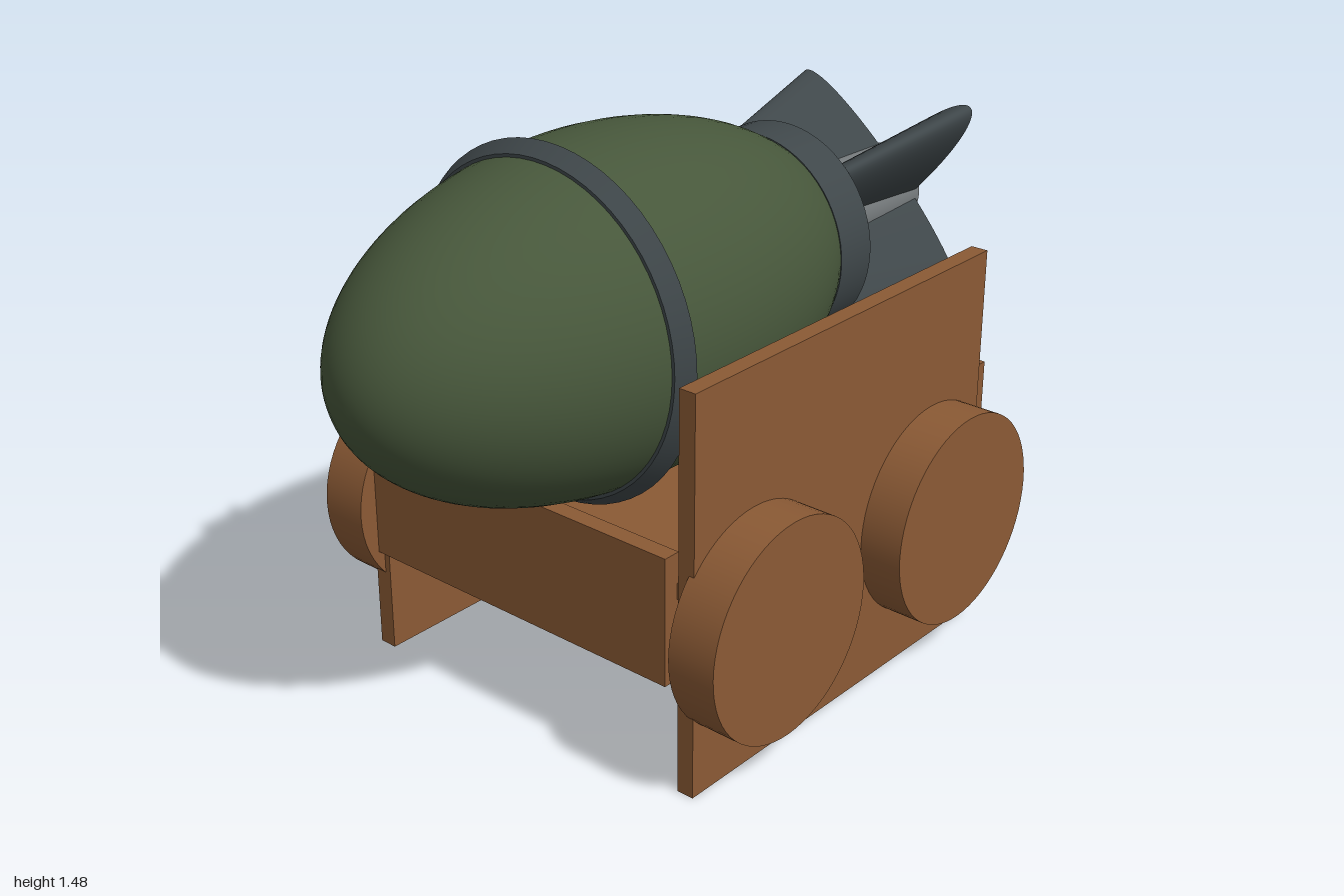
import * as THREE from 'three';

const mat = (name, color) => {
  const m = new THREE.MeshStandardMaterial({ color });
  m.name = name;
  return m;
};

export function createModel() {
  const wood = mat('wood brown', 0x8b5a35);
  const green = mat('shell green', 0x47573b);
  const slate = mat('dark slate', 0x3f474a);
  const grey = mat('core grey', 0x7a7f81);

  const model = new THREE.Group();
  const add = (parent, name, geometry, material) => {
    const mesh = new THREE.Mesh(geometry, material);
    mesh.name = name;
    parent.add(mesh);
    return mesh;
  };

  // Cart boards, given by their lower and upper corners
  const cart = new THREE.Group();
  cart.name = 'cart';
  model.add(cart);
  const board = (name, x0, x1, y0, y1, z0, z1) =>
    add(cart, name, new THREE.BoxGeometry(x1 - x0, y1 - y0, z1 - z0), wood)
      .position.set((x0 + x1) / 2, (y0 + y1) / 2, (z0 + z1) / 2);
  board('rightPanel', -0.555, -0.505, 0, 1.06, -0.655, 0.503);
  board('leftPanel', 0.49, 0.537, 0, 1.06, -0.655, 0.503);
  board('frontBoard', -0.572, 0.467, 0.292, 0.633, 0.475, 0.522);
  board('backBoard', -0.5, 0.535, 0.4, 0.74, -0.683, -0.637);
  board('floor', -0.53, 0.51, 0.51, 0.552, -0.64, 0.48);

  // Four solid wheels
  for (const side of [-1, 1]) {
    for (const [place, z] of [['front', 0.288], ['back', -0.438]]) {
      const wheel = new THREE.CylinderGeometry(0.287, 0.287, 0.133, 64).rotateZ(Math.PI / 2);
      add(cart, place + (side > 0 ? 'LeftWheel' : 'RightWheel'), wheel, wood)
        .position.set(side * 0.5885, 0.412, z);
    }
  }

  // Bomb lying along z
  const bomb = new THREE.Group();
  bomb.name = 'bomb';
  bomb.position.set(-0.025, 1.025, 0);
  model.add(bomb);
  // Tapered round part from zBack to zFront
  const round = (rFront, rBack, zFront, zBack) =>
    new THREE.CylinderGeometry(rFront, rBack, zFront - zBack, 64)
      .rotateX(Math.PI / 2).translate(0, 0, (zFront + zBack) / 2);

  const shell = new THREE.SphereGeometry(1, 64, 48).rotateX(Math.PI / 2).scale(0.436, 0.436, 0.8);
  add(bomb, 'shell', shell, green).position.z = 0.2;
  add(bomb, 'frontBand', round(0.428, 0.456, 0.415, 0.37), slate);
  add(bomb, 'rearBand', round(0.291, 0.291, -0.4, -0.525), slate);
  add(bomb, 'tailCore', round(0.118, 0.118, -0.45, -1), grey);

  // Two crossed, flattened cones make the four fins
  for (const turn of [-1, 1]) {
    const fins = round(0.278, 0.396, -0.5, -0.983).scale(1, 0.19, 1).rotateZ(turn * Math.PI / 4);
    add(bomb, turn > 0 ? 'risingFins' : 'fallingFins', fins, slate);
  }
  return model;
}
